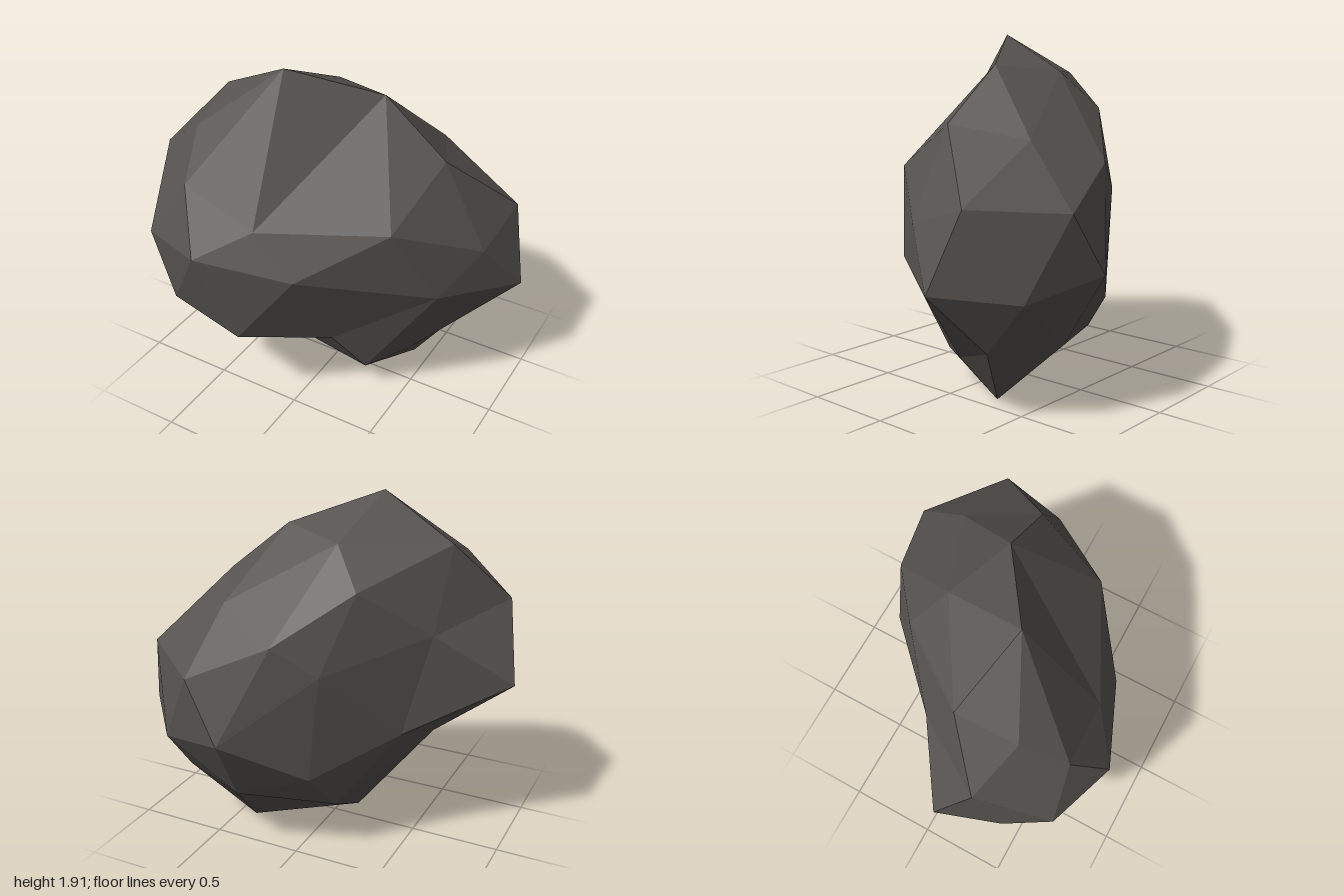
import * as THREE from 'three';
import { ConvexGeometry } from 'three/addons/geometries/ConvexGeometry.js';

// Corner points of the boulder, grouped by region
const corners = [
  // crown
  [-.2, 1.91, .2], [-.64, 1.69, .08], [.23, 1.75, -.09], [-.13, 1.71, -.24], [-.61, 1.58, .41],
  [.59, 1.46, -.09], [-.3, 1.51, -.38], [.41, 1.39, -.48],
  // front
  [-.525, 1.37, .655], [-.125, 1.2, .64], [-.375, 1.06, .835], [-.755, 1.035, .7],
  [.11, .97, .645], [.5, 1.21, .33], [-.63, .645, .7], [-.215, .53, .705], [.17, .44, .36],
  // left and right ends
  [-.9, 1.37, .31], [-1, .95, .12], [-.87, .88, .46], [.875, 1.1, -.455], [.99, .69, -.325],
  [.69, .77, .14], [.84, .99, -.09],
  // back
  [.27, .74, -.84], [.47, 1.065, -.79], [.69, .645, -.675], [.04, 1.26, -.665],
  [-.18, 1.1, -.56], [-.62, 1.25, -.12], [-.5, .71, -.23], [-.12, .51, -.57],
  // underside, with the hollow below the front ledge
  [.4, 0, -.25], [-.14, .06, .03], [.3, .17, .2], [.46, .2, -.035], [.7, .365, -.45],
  [.295, .35, -.61], [-.2, .3, -.4], [-.58, .63, .05], [-.27, .5, .32],
].map((c) => new THREE.Vector3(...c));

// Direction of a corner from the middle, with the flat diagonal widened to a ball
function direction(v) {
  const along = (v.x - v.z) * Math.SQRT1_2;
  const across = (v.x + v.z) * Math.SQRT1_2 * 1.6;
  return new THREE.Vector3(along, v.y - 0.93, across).normalize();
}

// Join neighbouring corners on the ball, then move them back to their places
function boulderGeometry() {
  const dirs = corners.map(direction);
  const geometry = new ConvexGeometry(dirs);
  const pos = geometry.attributes.position;
  const p = new THREE.Vector3();
  for (let i = 0; i < pos.count; i++) {
    p.fromBufferAttribute(pos, i);
    let best = 0;
    dirs.forEach((d, k) => { if (d.dot(p) > dirs[best].dot(p)) best = k; });
    pos.setXYZ(i, ...corners[best].toArray());
  }
  geometry.computeVertexNormals(); // unshared corners give flat facets
  return geometry;
}

export function createModel() {
  const stone = new THREE.MeshStandardMaterial({ color: 0x575350 });
  stone.name = 'darkStone';
  const boulder = new THREE.Mesh(boulderGeometry(), stone);
  boulder.name = 'boulder';
  const group = new THREE.Group();
  group.name = 'rock';
  group.add(boulder);
  return group;
}
